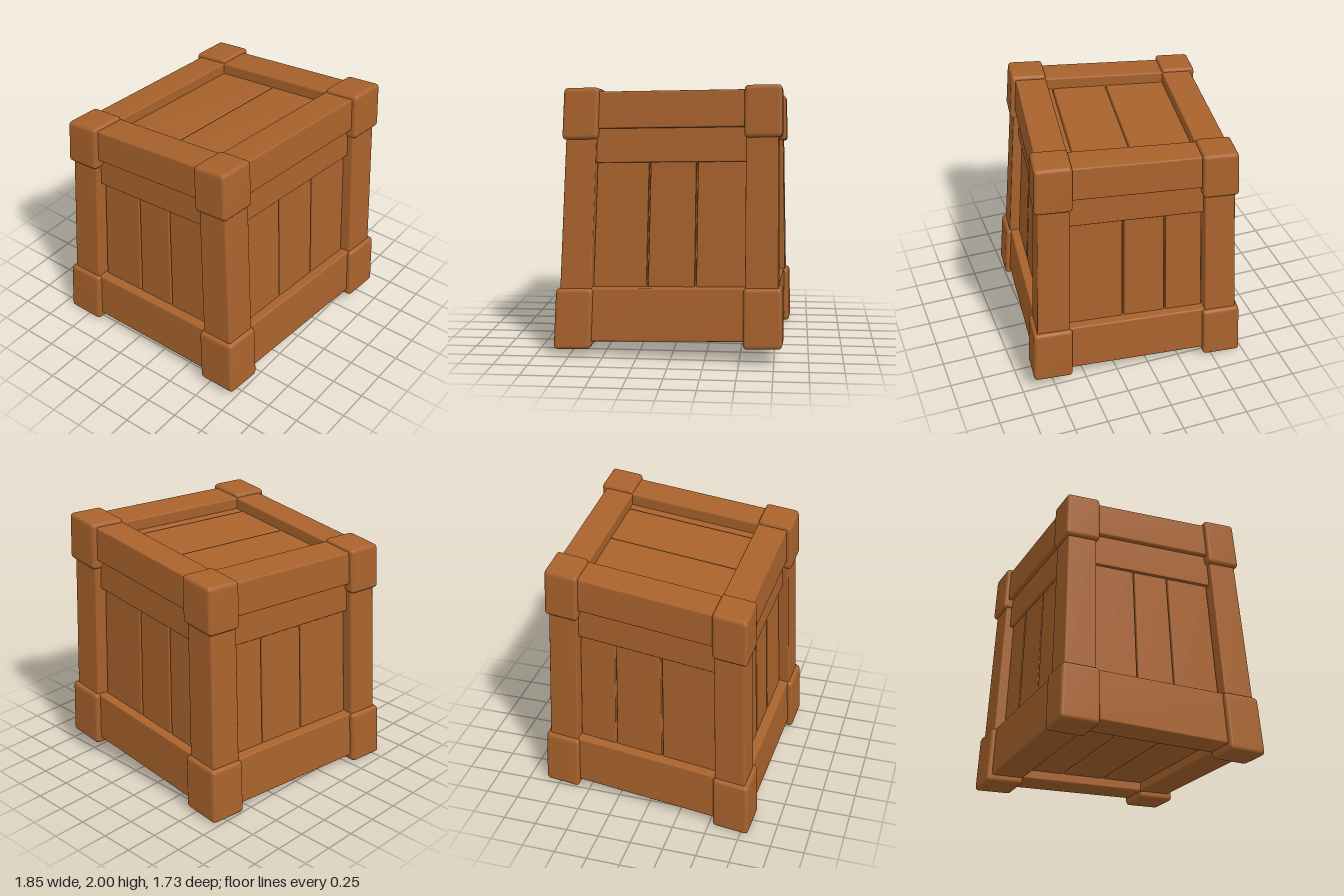
import * as THREE from 'three';
import { mergeVertices } from 'three/addons/utils/BufferGeometryUtils.js';
import { RoundedBoxGeometry } from 'three/addons/geometries/RoundedBoxGeometry.js';

// Outer corners of the crooked crate: index = right + 2 * top + 4 * front
const CORNERS = [
  [-0.725, 0.005, -0.865], [0.925, 0.135, -0.81],
  [-0.635, 1.83, -0.815], [0.85, 2.0, -0.79],
  [-0.935, 0.0, 0.81], [0.74, 0.05, 0.865],
  [-0.865, 1.785, 0.735], [0.595, 1.955, 0.785],
].map((c) => new THREE.Vector3(...c));

// Maps a point of the straight cube (-1..1) into the crooked crate
function warp(p) {
  const out = new THREE.Vector3();
  CORNERS.forEach((c, i) => {
    const fx = (1 + (i & 1 ? p.x : -p.x)) / 2;
    const fy = (1 + (i & 2 ? p.y : -p.y)) / 2;
    const fz = (1 + (i & 4 ? p.z : -p.z)) / 2;
    out.addScaledVector(c, fx * fy * fz);
  });
  return out;
}

export function createModel() {
  const crate = new THREE.Group();
  crate.name = 'crate';
  const wood = new THREE.MeshStandardMaterial({ color: 0xa8622c });
  wood.name = 'brown wood';

  // Rounded board given by its ranges in the straight cube
  function board(name, xs, ys, zs, radius) {
    const size = [xs, ys, zs].map((r) => Math.abs(r[1] - r[0]));
    const mid = [xs, ys, zs].map((r) => (r[0] + r[1]) / 2);
    let geo = new RoundedBoxGeometry(...size, 2, radius);
    geo.translate(...mid);
    geo.deleteAttribute('normal');
    geo.deleteAttribute('uv');
    geo = mergeVertices(geo, 1e-5);
    const pos = geo.attributes.position;
    for (let i = 0; i < pos.count; i++) {
      const p = warp(new THREE.Vector3().fromBufferAttribute(pos, i));
      pos.setXYZ(i, p.x, p.y, p.z);
    }
    geo.computeVertexNormals();
    const mesh = new THREE.Mesh(geo, wood);
    mesh.name = name;
    crate.add(mesh);
  }

  const IX = 0.635, IZ = 0.665;    // inner edges of the corner blocks
  const TOP = 0.61, BOTTOM = -0.53; // block heights
  const signs = [-1, 1];

  // Corner blocks and posts
  for (const sx of signs) for (const sz of signs) {
    board('topCornerBlock', [sx * IX, sx], [TOP, 1], [sz * IZ, sz], 0.035);
    board('bottomCornerBlock', [sx * IX, sx], [-1, BOTTOM], [sz * IZ, sz], 0.035);
    board('post', [sx * 0.66, sx * 0.965], [BOTTOM - 0.1, TOP + 0.1], [sz * 0.68, sz * 0.965], 0.015);
  }

  // Board on one of the four sides; "along" runs across that side
  function sideBoard(name, axis, s, along, ys, depth, radius) {
    const d = depth.map((v) => v * s);
    if (axis === 'z') board(name, along, ys, d, radius);
    else board(name, d, ys, along, radius);
  }

  const sides = [
    { axis: 'z', s: 1, inner: IX, seams: [-0.2, 0.18] },
    { axis: 'z', s: -1, inner: IX, seams: [-0.28, 0.13] },
    { axis: 'x', s: 1, inner: IZ, seams: [-0.24, 0.19] },
    { axis: 'x', s: -1, inner: IZ, seams: [-0.32, 0.14] },
  ];
  for (const { axis, s, inner, seams } of sides) {
    const span = [-inner - 0.06, inner + 0.06];
    sideBoard('topBeam', axis, s, span, [0.69, 0.97], [inner === IX ? IZ : IX, 0.955], 0.015);
    sideBoard('upperRail', axis, s, span, [0.43, 0.7], [0.75, 0.905], 0.01);
    sideBoard('bottomBeam', axis, s, span, [-0.945, -0.53], [inner === IX ? IZ : IX, 0.955], 0.015);
    const edges = [-inner - 0.02, ...seams, inner + 0.02];
    for (let i = 0; i < 3; i++) {
      sideBoard('sidePlank', axis, s, [edges[i] + 0.007, edges[i + 1] - 0.007], [-0.6, 0.5], [0.78, 0.87], 0.012);
    }
  }

  // Lid and floor planks, running front to back
  const lid = [-0.645, -0.01, 0.56, 0.7];
  const floor = [-0.7, -0.22, 0.22, 0.7];
  for (let i = 0; i < 3; i++) {
    board('lidPlank', [lid[i] + 0.006, lid[i + 1] - 0.006], [0.78, 0.875], [-0.72, 0.72], 0.012);
    board('floorPlank', [floor[i] + 0.006, floor[i + 1] - 0.006], [-0.87, -0.78], [-0.72, 0.72], 0.012);
  }

  // Solid backing behind the seams
  board('core', [-0.82, 0.82], [-0.82, 0.82], [-0.82, 0.82], 0.01);
  return crate;
}
